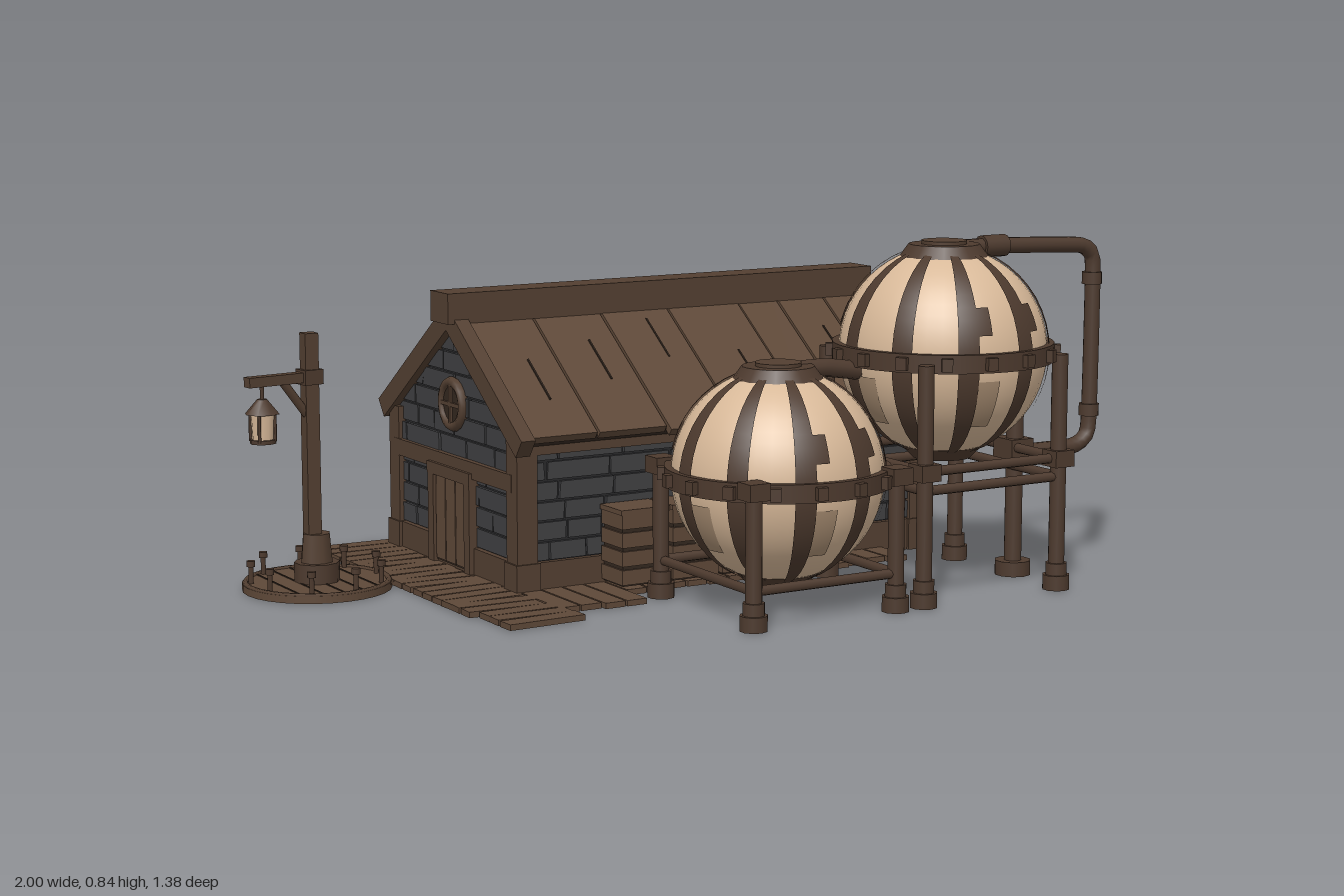
import * as THREE from 'three';
import { mergeGeometries } from 'three/addons/utils/BufferGeometryUtils.js';

const mat = (name, color, extra = {}) => new THREE.MeshStandardMaterial({ name, color, ...extra });

export function createModel() {
  const wood = mat('wood', 0x5e4838);
  const frame = mat('frame wood', 0x533f31);
  const dark = mat('dark wood', 0x33271f);
  const iron = mat('rusty iron', 0x4d3a2e);
  const stone = mat('slate', 0x404042);
  const mortar = mat('mortar', 0x28282a);
  const cream = mat('cream panel', 0xd8b999);
  const tan = mat('stained panel', 0xa88d72);

  let seed = 7;
  const rnd = (a = 0, b = 1) => {
    seed = (seed * 16807) % 2147483647;
    return a + (b - a) * seed / 2147483647;
  };
  const model = new THREE.Group();
  model.name = 'workshop';
  const group = (name, x = 0, y = 0, z = 0, parent = model) => {
    const g = new THREE.Group();
    g.name = name;
    g.position.set(x, y, z);
    parent.add(g);
    return g;
  };
  const add = (parent, name, geo, m, x = 0, y = 0, z = 0) => {
    const mesh = new THREE.Mesh(geo, m);
    mesh.name = name;
    mesh.position.set(x, y, z);
    parent.add(mesh);
    return mesh;
  };
  const box = (p, name, m, w, h, d, x, y, z) => add(p, name, new THREE.BoxGeometry(w, h, d), m, x, y, z);
  const cyl = (p, name, m, r, h, x, y, z, n = 12, r2 = r) => add(p, name, new THREE.CylinderGeometry(r2, r, h, n), m, x, y, z);
  // Round bar between two points
  const bar = (p, name, m, a, b, r, n = 8) => {
    const A = new THREE.Vector3(...a), B = new THREE.Vector3(...b), d = B.clone().sub(A);
    const mesh = cyl(p, name, m, r, d.length(), 0, 0, 0, n);
    mesh.position.copy(A).add(B).multiplyScalar(0.5);
    mesh.quaternion.setFromUnitVectors(new THREE.Vector3(0, 1, 0), d.normalize());
    return mesh;
  };

  // Rows of thin stones, clipped to a half-width that depends on height
  const stones = (half, y0, y1, rows) => {
    const parts = [], h = (y1 - y0) / rows, g = 0.003;
    for (let r = 0; r < rows; r++) {
      const b = y0 + r * h + g, t = y0 + (r + 1) * h - g, hb = half(b), ht = Math.max(half(t), 0.004);
      let x = -hb - rnd(0, 0.08);
      while (x < hb) {
        const e = x + rnd(0.09, 0.19), k = (v, l) => Math.min(l, Math.max(-l, v));
        const l = x + g, q = e - g, j = rnd(-0.004, 0.004);
        if (k(q, hb) - k(l, hb) > 0.01) {
          const s = new THREE.Shape([
            new THREE.Vector2(k(l, hb), b), new THREE.Vector2(k(q, hb), b),
            new THREE.Vector2(k(q + j, ht), t), new THREE.Vector2(k(l + j, ht), t)]);
          parts.push(new THREE.ExtrudeGeometry(s, { depth: rnd(0.005, 0.009), bevelEnabled: false }));
        }
        x = e;
      }
    }
    return mergeGeometries(parts);
  };

  // House: body, sill, corner posts
  const house = group('house', 0.13, 0, -0.3);
  const outline = new THREE.Shape([[-0.33, 0.01], [0.33, 0.01], [0.33, 0.375], [0, 0.615], [-0.33, 0.375]]
    .map(p => new THREE.Vector2(...p)));
  const body = new THREE.ExtrudeGeometry(outline, { depth: 1.15, bevelEnabled: false });
  body.translate(0, 0, -0.575).rotateY(Math.PI / 2);
  add(house, 'wallCore', body, mortar);
  box(house, 'sill', frame, 1.18, 0.08, 0.69, 0, 0.04, 0);
  for (const s of [-1, 1]) {
    const long = add(house, 'longWallStones', stones(() => 0.56, 0.08, 0.37, 6), stone, 0, 0, s * 0.33);
    long.rotation.y = s > 0 ? 0 : Math.PI;
    const gable = add(house, 'gableStones', stones(y => Math.min(0.33, (0.61 - y) / 0.727), 0.08, 0.6, 10), stone, s * 0.575, 0, 0);
    gable.rotation.y = s * Math.PI / 2;
    box(house, 'eaveBeam', frame, 1.16, 0.03, 0.03, 0, 0.355, s * 0.335);
    box(house, 'tieBeam', frame, 0.03, 0.042, 0.64, s * 0.58, 0.272, 0);
    for (const t of [-1, 1]) {
      box(house, 'cornerPost', frame, 0.055, 0.37, 0.055, s * 0.566, 0.19, t * 0.32);
      box(house, 'postFoot', frame, 0.065, 0.08, 0.065, s * 0.566, 0.04, t * 0.32);
    }
  }

  // Roof: boards with seams, end rafters and ridge beam
  const tilt = Math.atan2(0.28, 0.385);
  for (const s of [-1, 1]) {
    const slope = group('roofSlope', 0, 0.655, 0, house);
    const tilted = group('roofTilt', 0, 0, 0, slope);
    slope.rotation.y = s > 0 ? 0 : Math.PI;
    tilted.rotation.x = tilt;
    box(tilted, 'roofUnderlay', dark, 1.16, 0.022, 0.455, 0, -0.024, 0.228);
    let x = -0.58;
    while (x < 0.579) {
      let w = rnd(0.1, 0.22);
      if (0.58 - x - w < 0.06) w = 0.58 - x;
      const l = rnd(0.458, 0.482);
      box(tilted, 'roofBoard', wood, w - 0.006, 0.02, l, x + w / 2, -0.01 + rnd(0, 0.004), l / 2);
      if (w > 0.13) box(tilted, 'boardCrack', dark, 0.004, 0.004, 0.14, x + w * 0.6, 0.003, rnd(0.12, 0.36));
      x += w;
    }
    for (const e of [-1, 1]) box(tilted, 'endRafter', frame, 0.038, 0.052, 0.475, e * 0.584, -0.016, 0.238);
  }
  box(house, 'ridgeBeam', frame, 1.24, 0.075, 0.095, 0, 0.66, 0);

  // Door and round window on the right-hand gable
  const door = group('door', -0.586, 0, 0, house);
  box(door, 'doorBack', dark, 0.012, 0.22, 0.17, 0, 0.13, 0);
  for (let i = -1; i <= 1; i++) box(door, 'doorBoard', wood, 0.016, 0.21, 0.05, -0.002, 0.13, i * 0.054);
  for (const s of [-1, 1]) box(door, 'doorJamb', frame, 0.028, 0.25, 0.03, -0.002, 0.125, s * 0.098);
  box(door, 'doorLintel', frame, 0.03, 0.03, 0.23, -0.002, 0.25, 0);
  const win = group('roundWindow', -0.586, 0.42, 0, house);
  win.rotation.y = -Math.PI / 2;
  add(win, 'windowRing', new THREE.TorusGeometry(0.055, 0.013, 8, 20), frame);
  add(win, 'windowPane', new THREE.CircleGeometry(0.05, 20), dark, 0, 0, 0.004);
  box(win, 'windowBar', frame, 0.1, 0.01, 0.01, 0, 0, 0.005);
  box(win, 'windowBar', frame, 0.01, 0.1, 0.01, 0, 0, 0.005);

  // Plank walks along the door side and the front
  const deck = group('deck');
  for (let i = 0; i < 20; i++) {
    const l = rnd(0.19, 0.21);
    const p = box(deck, 'sidePlank', wood, l, 0.014, 0.047, -0.655 + l / 2 + (i > 16 ? 0.02 : 0), 0.008, -0.67 + i * 0.0515);
    p.rotation.y = rnd(-0.05, 0.07);
  }
  box(deck, 'sideJoist', dark, 0.13, 0.006, 0.96, -0.55, 0.003, -0.18);
  for (let x = -0.43; x < 0.58; x += 0.058) {
    const l = (x < -0.2 ? 0.2 : 0.1) + rnd(-0.01, 0.015);
    box(deck, 'frontPlank', wood, 0.053, 0.014, l, x, 0.008, 0.045 + l / 2);
  }
  // Crates against the front wall
  for (const x of [-0.17, -0.03, 0.11]) {
    const crate = group('crate', x, 0.11, 0.095);
    box(crate, 'crateBody', dark, 0.12, 0.18, 0.09, 0, 0, 0);
    for (let i = 0; i < 4; i++) box(crate, 'crateSlat', wood, 0.128, 0.036, 0.1, 0, -0.068 + i * 0.045, 0);
    box(crate, 'crateLid', wood, 0.134, 0.012, 0.104, 0, 0.09, 0);
  }

  // Spherical tank with ribs, girdle and caps
  const R = 0.25;
  const tank = (name, x, y, z, offset) => {
    const t = group(name, x, y, z);
    add(t, 'shell', new THREE.SphereGeometry(R, 40, 28), cream);
    const patch = (n, m, r, phi, w, t0, t1) => add(t, n,
      new THREE.SphereGeometry(r, 4, 20, phi - w / 2, w, t0, t1 - t0), m);
    for (let i = 0; i < 10; i++) {
      const phi = Math.PI / 2 + offset + (i + 0.5) * Math.PI / 5;
      patch('rib', iron, R + 0.005, phi, 0.2, 0.25, 2.9);
      if (i % 3 === 0) patch('rustPatch', iron, R + 0.004, phi + 0.13, 0.22, 1.05, 1.32);
      if (i % 2) patch('stain', tan, R + 0.002, phi + 0.2, 0.25, 1.75, 2.25);
    }
    const ring = [[R - 0.01, -0.022], [R + 0.016, -0.022], [R + 0.016, 0.022], [R - 0.01, 0.022]].map(p => new THREE.Vector2(...p));
    for (let i = 0; i < 3; i++) add(t, 'girdle', new THREE.LatheGeometry([ring[i], ring[i + 1]], 40), iron);
    for (let i = 0; i < 16; i++) {
      const a = (i + 0.5) * Math.PI / 8;
      const b = box(t, 'girdleBolt', iron, 0.026, 0.03, 0.026, Math.sin(a) * (R + 0.018), 0, Math.cos(a) * (R + 0.018));
      b.rotation.y = a;
    }
    cyl(t, 'topCap', iron, 0.11, 0.035, 0, 0.238, 0, 20, 0.085);
    cyl(t, 'topHatch', frame, 0.055, 0.02, 0, 0.254, 0, 16);
    cyl(t, 'bottomCap', iron, 0.07, 0.03, 0, -0.245, 0, 20, 0.1);
  };
  tank('smallTank', 0.035, 0.31, 0.405, 0);
  tank('tallTank', 0.505, 0.57, 0.405, -0.07);

  // Stands: legs with feet and collars, joined by rails
  const stand = (name, x, top, rails) => {
    const g = group(name, x, 0, 0.405), c = 0.195, n = 0.205;
    for (const s of [-1, 1]) {
      for (const t of [-1, 1]) {
        cyl(g, 'leg', iron, 0.02, top, s * c, top / 2, t * n, 10);
        cyl(g, 'foot', iron, 0.033, 0.036, s * c, 0.018, t * n, 10);
        cyl(g, 'ankle', iron, 0.026, 0.03, s * c, 0.05, t * n, 10);
        box(g, 'collar', iron, 0.055, 0.04, 0.055, s * c, 0.32, t * n);
      }
      for (const y of rails) {
        bar(g, 'rail', iron, [-c, y, s * n], [c, y, s * n], 0.012);
        bar(g, 'rail', iron, [s * c, y, -n], [s * c, y, n], 0.012);
      }
    }
  };
  stand('smallStand', 0.035, 0.33, [0.09]);
  stand('tallStand', 0.505, 0.57, [0.275, 0.32]);
  cyl(model, 'pipePost', iron, 0.022, 0.4, 0.715, 0.2, 0.42, 10);
  cyl(model, 'pipePostFoot', iron, 0.045, 0.036, 0.715, 0.018, 0.42, 10);
  box(model, 'pipePostCollar', iron, 0.065, 0.05, 0.075, 0.715, 0.315, 0.415);

  // Pipes
  const pipe = (name, pts, r) => add(model, name, new THREE.TubeGeometry(
    new THREE.CatmullRomCurve3(pts.map(p => new THREE.Vector3(...p)), false, 'catmullrom', 0.3), 60, r, 10), iron);
  const Z = 0.385;
  pipe('overflowPipe', [[0.53, 0.81, Z], [0.68, 0.81, Z], [0.92, 0.8, Z], [0.96, 0.785, Z], [0.975, 0.74, Z],
    [0.972, 0.36, Z], [0.955, 0.312, Z], [0.91, 0.295, Z], [0.72, 0.295, Z]], 0.02);
  bar(model, 'pipeCollar', iron, [0.63, 0.81, Z], [0.7, 0.81, Z], 0.027, 12);
  bar(model, 'pipeCollar', iron, [0.973, 0.7, Z], [0.973, 0.73, Z], 0.025, 12);
  bar(model, 'pipeCollar', iron, [0.972, 0.37, Z], [0.972, 0.4, Z], 0.025, 12);
  pipe('linkPipe', [[0.05, 0.55, 0.405], [0.17, 0.55, 0.4], [0.3, 0.53, 0.4]], 0.022);

  // Lamp post on a round wooden base
  const lamp = group('lampPost', -0.82, 0, -0.31);
  cyl(lamp, 'lampBase', wood, 0.18, 0.018, 0, 0.009, 0, 28);
  const rim = add(lamp, 'baseRim', new THREE.TorusGeometry(0.172, 0.008, 6, 28), frame, 0, 0.016, 0);
  rim.rotation.x = Math.PI / 2;
  for (const x of [-0.1, -0.05, 0, 0.05, 0.1]) box(lamp, 'baseSeam', dark, 0.004, 0.003, 2 * Math.sqrt(0.0272 - x * x), x, 0.0185, 0);
  for (let i = 0; i < 9; i++) {
    const a = i * Math.PI * 2 / 9 + 0.2, x = Math.sin(a) * 0.158, z = Math.cos(a) * 0.158;
    cyl(lamp, 'peg', iron, 0.006, 0.05, x, 0.04, z, 6);
    cyl(lamp, 'pegHead', iron, 0.011, 0.014, x, 0.066, z, 8);
  }
  cyl(lamp, 'postPlinth', iron, 0.055, 0.05, 0, 0.04, 0, 10);
  cyl(lamp, 'postBoot', frame, 0.042, 0.09, 0, 0.09, 0, 8, 0.034);
  box(lamp, 'post', frame, 0.034, 0.5, 0.034, -0.01, 0.37, 0);
  const arm = group('lampArm', -0.01, 0.515, 0, lamp);
  arm.rotation.y = 0.12;
  box(arm, 'armBeam', frame, 0.2, 0.024, 0.028, -0.07, 0, 0);
  box(arm, 'armJoint', iron, 0.05, 0.036, 0.046, 0, 0, 0);
  bar(arm, 'armBrace', frame, [-0.075, -0.005, 0], [-0.01, -0.09, 0], 0.011);
  cyl(arm, 'lanternHook', iron, 0.005, 0.04, -0.13, -0.025, 0, 6);
  cyl(arm, 'lanternRoof', iron, 0.042, 0.035, -0.13, -0.06, 0, 8, 0.012);
  cyl(arm, 'lanternGlass', cream, 0.026, 0.065, -0.13, -0.107, 0, 8, 0.03);
  cyl(arm, 'lanternFloor', iron, 0.032, 0.01, -0.13, -0.143, 0, 8);
  for (let i = 0; i < 4; i++) {
    const a = (i + 0.5) * Math.PI / 2;
    cyl(arm, 'lanternBar', iron, 0.004, 0.07, -0.13 + Math.sin(a) * 0.03, -0.108, Math.cos(a) * 0.03, 6);
  }
  return model;
}
